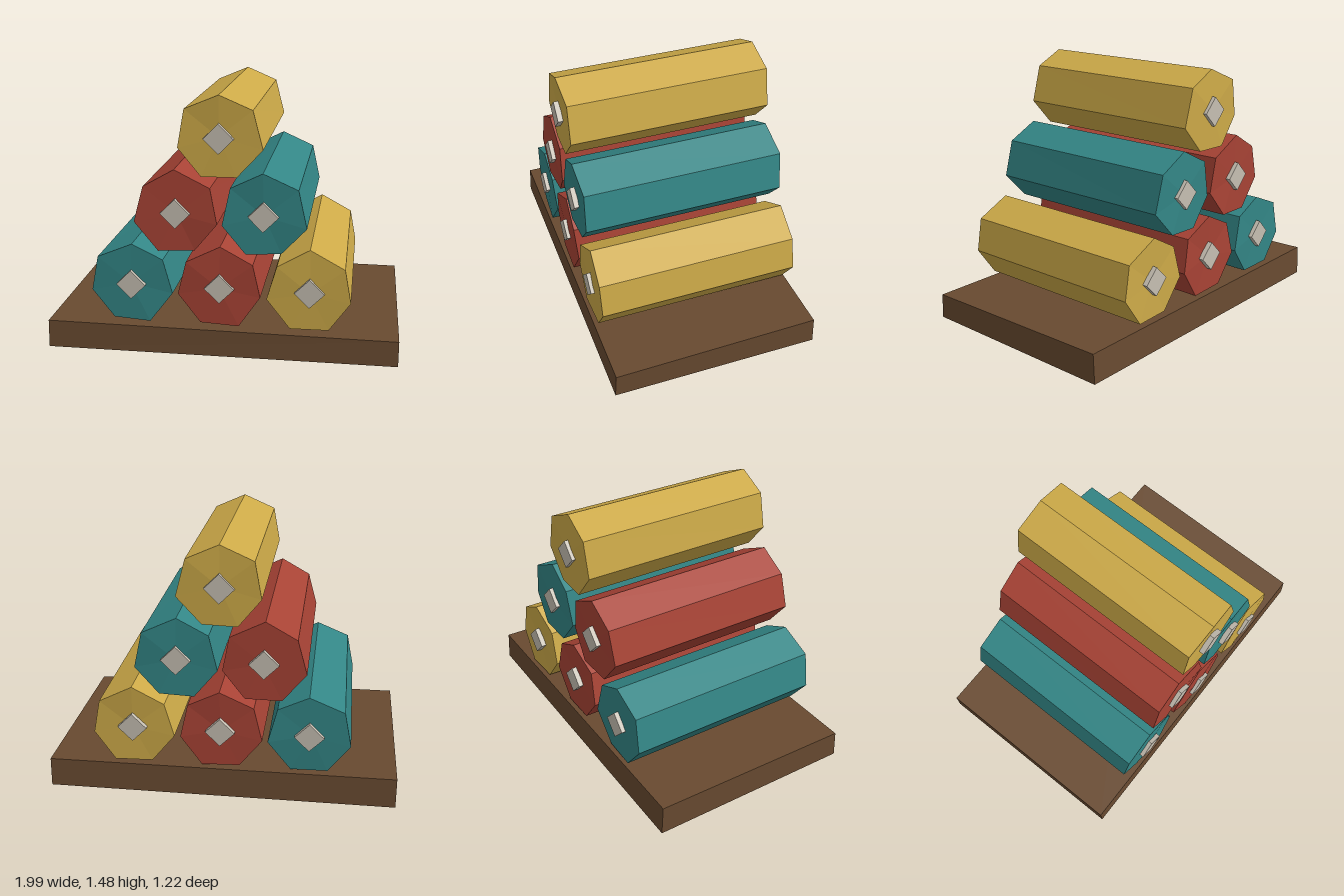
import * as THREE from 'three';

const COLORS = { teal: 0x338686, red: 0xa84335, yellow: 0xcdaa48, wood: 0x684a30, core: 0xc6bfb2 };

function part(geometry, color, name) {
  const material = new THREE.MeshStandardMaterial({ color, flatShading: true });
  const mesh = new THREE.Mesh(geometry, material);
  mesh.name = name;
  return mesh;
}

// Nudges corners slightly for a hand-cut look; corners that coincide move together
function wobble(geometry, amount, seed) {
  const p = geometry.attributes.position;
  for (let i = 0; i < p.count; i++) {
    const v = [p.getX(i), p.getY(i), p.getZ(i)].map((n) => Math.round(n * 1000));
    const noise = (k) => Math.sin(v[0] * 1.3 + v[1] * 2.1 + v[2] * 3.7 + seed * 5.3 + k * 2.4) * amount;
    p.setXYZ(i, v[0] / 1000 + noise(1), v[1] / 1000 + noise(2), v[2] / 1000 + noise(3));
  }
  geometry.computeVertexNormals();
  return geometry;
}

// Seven-sided roll lying along z, one corner up, with a square core poking out of both ends
function makeRoll(color, x, y, seed) {
  const roll = new THREE.Group();
  roll.name = 'roll';
  const body = new THREE.CylinderGeometry(0.238, 0.238, 1.17, 7).rotateX(-Math.PI / 2);
  const core = new THREE.CylinderGeometry(0.083, 0.083, 1.22, 4).rotateX(-Math.PI / 2);
  roll.add(part(wobble(body, 0.006, seed), color, 'rollBody'));
  roll.add(part(core, COLORS.core, 'rollCore'));
  roll.position.set(x, y, 0);
  return roll;
}

// Plank whose top slopes gently and whose underside lifts at the front left corner
function makePlank() {
  const g = new THREE.BoxGeometry(1.99, 0.165, 1.22).translate(0, 0.0825, 0);
  const p = g.attributes.position;
  for (let i = 0; i < p.count; i++) {
    const x = p.getX(i), z = p.getZ(i);
    if (p.getY(i) > 0.1) {
      p.setY(i, 0.163 - z * 0.013 - x * 0.003);
      p.setZ(i, z * 0.987);
    } else if (x > 0 && z > 0) {
      p.setY(i, 0.008);
    }
  }
  g.computeVertexNormals();
  return part(g, COLORS.wood, 'basePlank');
}

export function createModel() {
  const model = new THREE.Group();
  model.name = 'rollStack';
  model.add(makePlank());

  // Pyramid of rolls: three, two, one
  const rows = [['teal', 'red', 'yellow'], ['red', 'teal'], ['yellow']];
  const heights = [0.405, 0.828, 1.25];
  let seed = 0;
  rows.forEach((row, r) => {
    row.forEach((color, i) => {
      const x = (i - (row.length - 1) / 2) * (r === 0 ? 0.5 : 0.485);
      model.add(makeRoll(COLORS[color], x, heights[r], ++seed));
    });
  });
  return model;
}
